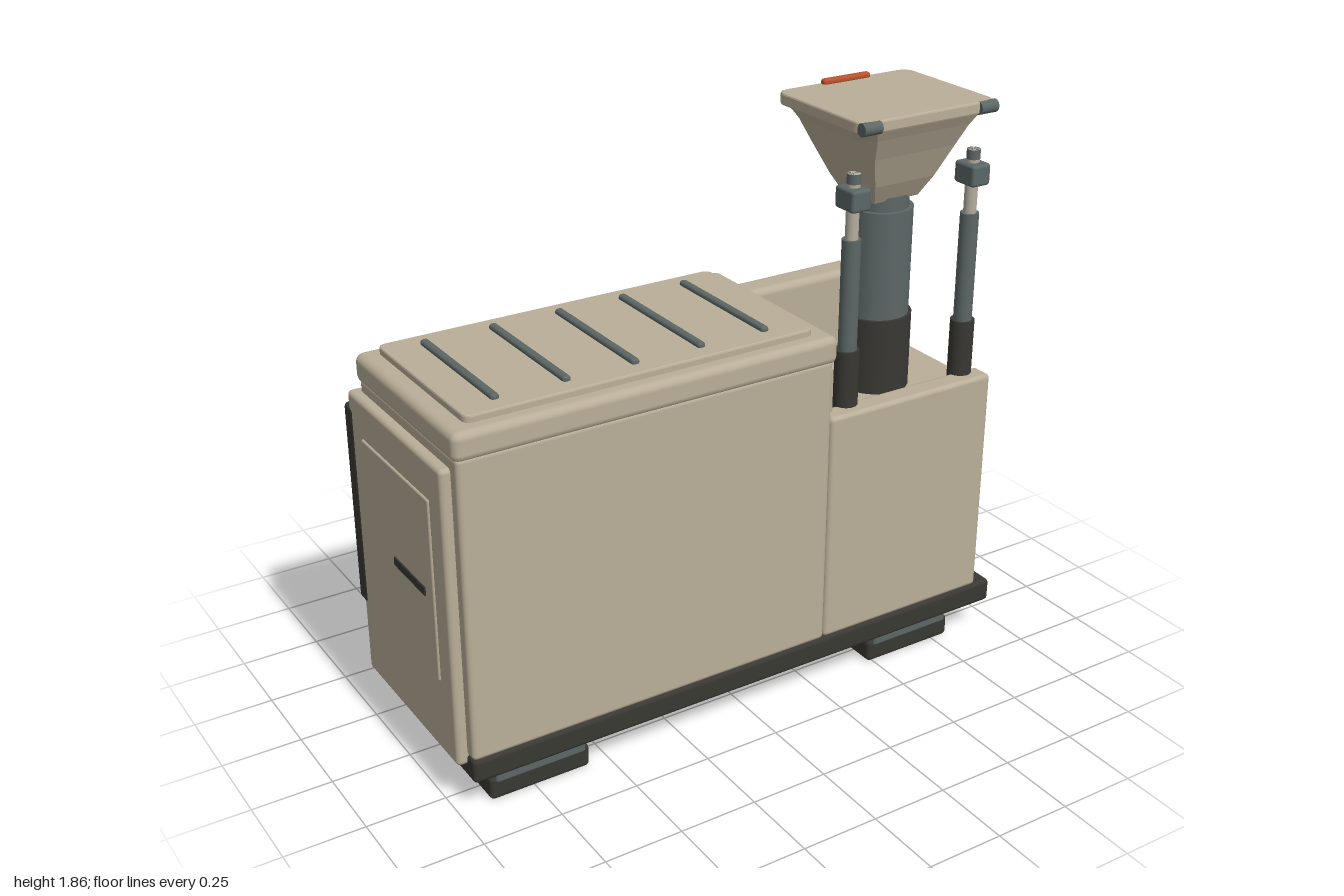
import * as THREE from 'three';
import { RoundedBoxGeometry } from 'three/addons/geometries/RoundedBoxGeometry.js';

const mat = (name, color) => {
  const m = new THREE.MeshStandardMaterial({ color });
  m.name = name;
  return m;
};

export function createModel() {
  const root = new THREE.Group();
  root.name = 'kitchenMachine';
  const cream = mat('warm cream', 0xb9ae98);
  const slate = mat('slate grey', 0x5c6766);
  const dark = mat('charcoal', 0x393833);
  const black = mat('screen black', 0x1c1c1b);
  const orange = mat('burnt orange', 0xb8522c);
  const metal = mat('pale metal', 0xb5ae9f);

  const add = (name, geo, m, parent = root) => {
    const mesh = new THREE.Mesh(geo, m);
    mesh.name = name;
    parent.add(mesh);
    return mesh;
  };
  // Rounded box given by its limits on each axis
  const box = (name, m, x0, x1, y0, y1, z0, z1, r = 0.012) => {
    const w = x1 - x0, h = y1 - y0, d = z1 - z0;
    const mesh = add(name, new RoundedBoxGeometry(w, h, d, 2, Math.min(r, w * 0.45, h * 0.45, d * 0.45)), m);
    mesh.position.set((x0 + x1) / 2, (y0 + y1) / 2, (z0 + z1) / 2);
    return mesh;
  };
  // Cylinder along an axis, starting at a point
  const rod = (name, m, r, len, x, y, z, axis = 'y', r2 = r) => {
    const geo = new THREE.CylinderGeometry(r2, r, len, 32).translate(0, len / 2, 0);
    if (axis === 'x') geo.rotateZ(-Math.PI / 2);
    if (axis === '-z') geo.rotateX(-Math.PI / 2);
    const mesh = add(name, geo, m);
    mesh.position.set(x, y, z);
    return mesh;
  };
  const tube = (name, m, pts, r) => {
    const curve = new THREE.CatmullRomCurve3(pts.map(p => new THREE.Vector3(...p)), false, 'catmullrom', 0.3);
    add(name, new THREE.TubeGeometry(curve, 40, r, 12), m);
    // Closed tube ends
    for (const p of [pts[0], pts[pts.length - 1]]) add(name + 'End', new THREE.SphereGeometry(r, 12, 8), m).position.set(...p);
  };
  const roundRect = (Shape, x0, x1, y0, y1, r) => {
    const s = new Shape();
    s.moveTo(x0 + r, y0);
    s.lineTo(x1 - r, y0).quadraticCurveTo(x1, y0, x1, y0 + r);
    s.lineTo(x1, y1 - r).quadraticCurveTo(x1, y1, x1 - r, y1);
    s.lineTo(x0 + r, y1).quadraticCurveTo(x0, y1, x0, y1 - r);
    s.lineTo(x0, y0 + r).quadraticCurveTo(x0, y0, x0 + r, y0);
    return s;
  };

  // Base and feet
  box('basePlate', dark, -0.96, 0.955, 0.105, 0.185, -0.3, 0.375, 0.015);
  for (const x of [-0.73, 0.645]) {
    box('footPad', dark, x - 0.165, x + 0.165, 0, 0.075, -0.255, 0.34, 0.015);
    box('footCollar', slate, x - 0.148, x + 0.148, 0.06, 0.11, -0.25, 0.345, 0.008);
  }

  // Oven cabinet with side panels
  box('ovenCabinet', cream, -0.958, 0.272, 0.18, 1.14, -0.27, 0.37, 0.015);
  box('outerSidePanel', cream, -0.99, -0.94, 0.15, 1.1, -0.295, 0.33, 0.015);
  box('innerSidePanel', cream, 0.25, 0.31, 0.183, 1.1, -0.295, 0.33, 0.015);
  box('sideCover', cream, -0.996, -0.98, 0.4, 0.98, -0.2, 0.25, 0.006);
  box('sideGrip', dark, -1, -0.99, 0.655, 0.685, -0.01, 0.2, 0.004);

  // Lid with ribs
  box('lid', cream, -0.965, 0.29, 1.125, 1.215, -0.285, 0.373, 0.025);
  const lidTop = new THREE.ExtrudeGeometry(roundRect(THREE.Shape, -0.905, 0.23, -0.325, 0.25, 0.03), {
    depth: 0.025, bevelEnabled: true, bevelSize: 0.005, bevelThickness: 0.006, bevelOffset: -0.005, bevelSegments: 2
  }).rotateX(-Math.PI / 2);
  add('lidRaisedPanel', lidTop, cream).position.y = 1.206;
  for (let i = 0; i < 5; i++) {
    const x = -0.785 + i * 0.22;
    box('lidRib', slate, x - 0.013, x + 0.013, 1.23, 1.252, -0.19, 0.27, 0.01);
  }
  box('lidSeal', slate, -0.93, 0.25, 1.07, 1.128, -0.298, -0.25, 0.008);

  // Oven door on the back
  const frame = roundRect(THREE.Shape, -0.92, 0.25, 0.4, 1.065, 0.02);
  frame.holes.push(roundRect(THREE.Path, -0.855, 0.185, 0.48, 0.985, 0.025));
  const frameGeo = new THREE.ExtrudeGeometry(frame, {
    depth: 0.036, bevelEnabled: true, bevelSize: 0.006, bevelThickness: 0.006, bevelOffset: -0.006, bevelSegments: 2
  });
  add('doorFrame', frameGeo, dark).position.z = -0.308;
  box('doorGlass', slate, -0.87, 0.2, 0.46, 1.0, -0.303, -0.26, 0.004);
  for (const [x0, x1] of [[-0.992, -0.91], [0.235, 0.317]])
    box('doorPost', dark, x0, x1, 0.39, 1.05, -0.328, -0.26, 0.015);

  // Drawer
  box('drawer', cream, -0.92, 0.22, 0.195, 0.37, -0.317, -0.25, 0.015);
  box('drawerInset', slate, -0.775, 0.088, 0.235, 0.335, -0.324, -0.31, 0.003);
  tube('drawerHandle', metal, [[-0.54, 0.285, -0.32], [-0.52, 0.285, -0.345], [-0.46, 0.285, -0.367],
    [-0.345, 0.285, -0.369], [-0.23, 0.285, -0.367], [-0.17, 0.285, -0.345], [-0.15, 0.285, -0.32]], 0.013);
  for (const x of [-0.955, 0.275]) for (const y of [0.25, 0.33])
    rod('panelScrew', dark, 0.008, 0.006, x, y, -0.293, '-z');

  // Feed cabinet
  box('feedCabinet', cream, 0.27, 0.89, 0.18, 0.91, -0.18, 0.36, 0.015);
  box('feedFrontPanel', cream, 0.27, 0.893, 0.183, 0.95, 0.295, 0.372, 0.015);

  // Control panel
  box('controlHousing', cream, 0.29, 0.905, 0.6, 1.15, -0.298, -0.195, 0.025);
  box('controlPlate', slate, 0.325, 0.855, 0.65, 1.095, -0.33, -0.28, 0.015);
  box('screenBezel', slate, 0.37, 0.815, 0.825, 1.085, -0.343, -0.32, 0.01);
  box('screen', black, 0.395, 0.79, 0.85, 1.06, -0.347, -0.34, 0.003);
  box('lowerTrim', dark, 0.48, 0.83, 0.612, 0.655, -0.322, -0.28, 0.008);
  rod('knobRing', dark, 0.05, 0.015, 0.735, 0.75, -0.328, '-z');
  rod('knob', orange, 0.041, 0.034, 0.735, 0.75, -0.328, '-z', 0.037);
  for (const x of [0.6, 0.53, 0.46]) rod('button', dark, 0.016, 0.01, x, 0.745, -0.328, '-z');

  // Feed column
  const cx = 0.605, cz = 0.14;
  rod('columnBase', dark, 0.11, 0.255, cx, 0.9, cz);
  rod('columnTube', slate, 0.1, 0.345, cx, 1.155, cz);
  rod('columnNeck', slate, 0.086, 0.05, cx, 1.495, cz);

  // Hopper lofted through chamfered rectangles: height, half width, half depth
  const rings = [[1.535, 0.1, 0.072], [1.6, 0.138, 0.108], [1.7, 0.187, 0.15], [1.77, 0.217, 0.185], [1.81, 0.245, 0.208]];
  const pos = [], idx = [];
  rings.forEach(([y, a, b]) => {
    const c = 0.25 * b;
    for (const [x, z] of [[a, b - c], [a - c, b], [c - a, b], [-a, b - c], [-a, c - b], [c - a, -b], [a - c, -b], [a, c - b]])
      pos.push(cx + x, y, cz + z);
  });
  for (let k = 0; k < rings.length - 1; k++) for (let i = 0; i < 8; i++) {
    const a = k * 8 + i, b = k * 8 + (i + 1) % 8;
    idx.push(a, a + 8, b, b, a + 8, b + 8);
  }
  for (let i = 1; i < 7; i++) idx.push(0, i, i + 1);
  let hopper = new THREE.BufferGeometry();
  hopper.setAttribute('position', new THREE.Float32BufferAttribute(pos, 3));
  hopper.setIndex(idx);
  hopper = hopper.toNonIndexed();
  hopper.computeVertexNormals();
  add('hopper', hopper, cream);
  const cap = new THREE.ExtrudeGeometry(roundRect(THREE.Shape, 0.355, 0.855, -0.352, 0.075, 0.045), {
    depth: 0.026, bevelEnabled: true, bevelSize: 0.006, bevelThickness: 0.006, bevelOffset: -0.006, bevelSegments: 2
  }).rotateX(-Math.PI / 2);
  add('hopperLid', cap, cream).position.y = 1.808;
  box('hopperLidPull', orange, 0.515, 0.692, 1.835, 1.856, -0.07, -0.045, 0.009);
  for (const x of [0.39, 0.82]) rod('hopperHinge', slate, 0.02, 0.064, x - 0.032, 1.82, 0.345, 'x');

  // Lift struts
  for (const x of [0.373, 0.822]) {
    rod('strutSleeve', dark, 0.038, 0.23, x, 0.9, 0.3);
    rod('strutBarrel', slate, 0.029, 0.355, x, 1.125, 0.3);
    rod('strutRod', metal, 0.02, 0.205, x, 1.475, 0.3);
    box('strutClamp', slate, x - 0.035, x + 0.035, 1.572, 1.64, 0.255, 0.345, 0.01);
    rod('strutTip', slate, 0.021, 0.03, x, 1.65, 0.3);
  }

  // Side handle
  tube('sideHandle', metal, [[0.885, 0.648, 0.25], [0.93, 0.655, 0.255], [0.967, 0.668, 0.22], [0.978, 0.674, 0.17],
    [0.978, 0.674, 0], [0.967, 0.668, -0.05], [0.93, 0.655, -0.085], [0.885, 0.648, -0.08]], 0.014);
  rod('sideHandleGrip', dark, 0.02, 0.185, 0.979, 0.674, 0.18, '-z');

  // Vents and outlet
  for (let i = 0; i < 6; i++) {
    const y = 0.295 + i * 0.041;
    box('ventSlat', dark, 0.88, 0.908, y - 0.006, y + 0.006, -0.085, 0.102, 0.005);
  }
  rod('outletCollar', slate, 0.053, 0.075, 0.888, 0.335, 0.22, 'x');
  rod('outletRing', dark, 0.04, 0.022, 0.963, 0.335, 0.22, 'x');
  rod('outletCore', slate, 0.026, 0.006, 0.983, 0.335, 0.22, 'x');
  return root;
}
